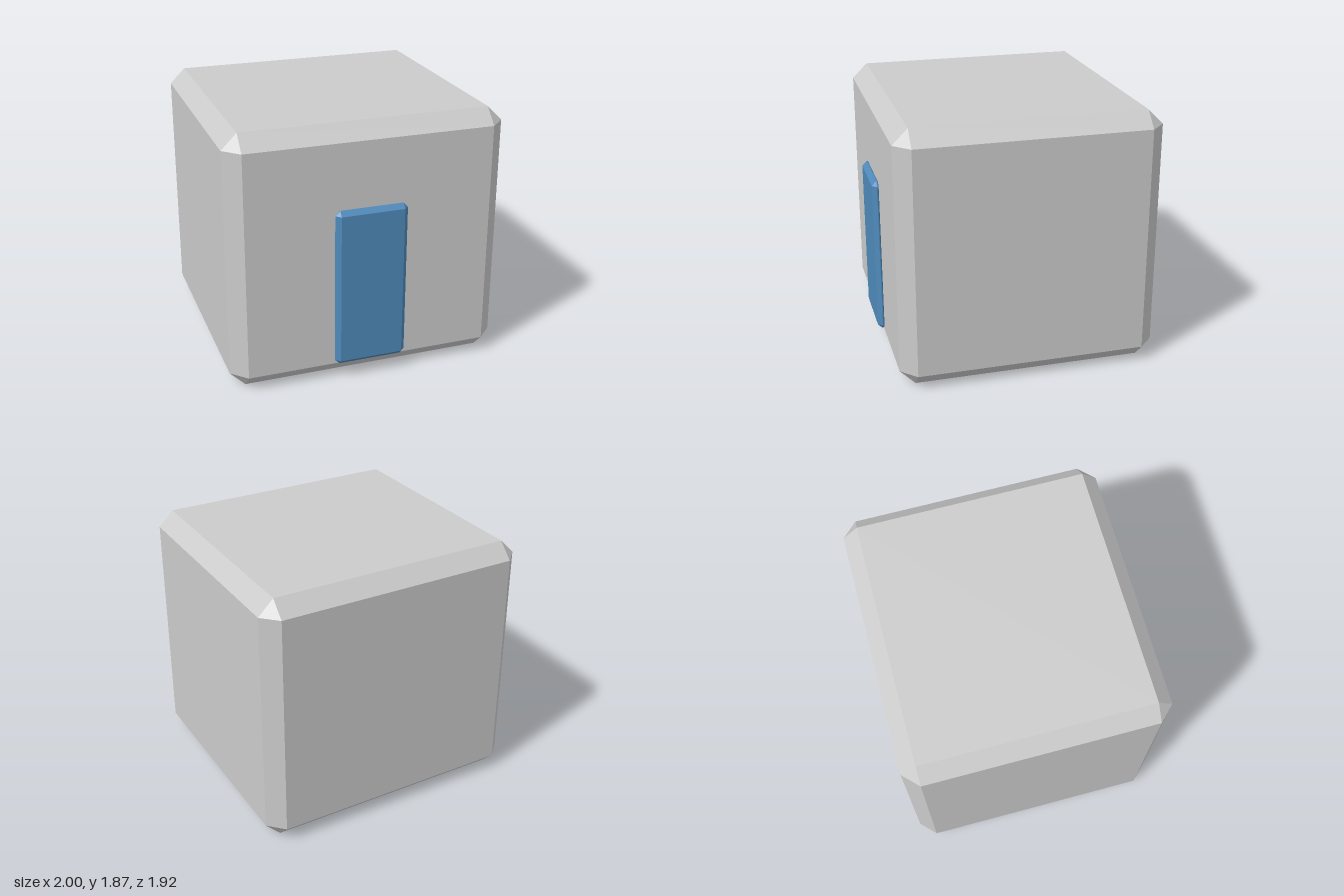
import * as THREE from 'three';
import { ConvexGeometry } from 'three/addons/geometries/ConvexGeometry.js';

// Box with every edge bevelled flat and a small triangle at each corner
function chamferedBox(width, height, depth, bevel) {
  const half = [width / 2, height / 2, depth / 2];
  const points = [];
  for (const sx of [-1, 1]) for (const sy of [-1, 1]) for (const sz of [-1, 1]) {
    for (let axis = 0; axis < 3; axis++) {
      // Each corner has one point on each of its three faces
      const [x, y, z] = half.map((h, i) => (i === axis ? h : h - bevel));
      points.push(new THREE.Vector3(sx * x, sy * y, sz * z));
    }
  }
  return new ConvexGeometry(points);
}

function addPart(group, name, geometry, color, y, z) {
  const material = new THREE.MeshStandardMaterial({ color, flatShading: true });
  const mesh = new THREE.Mesh(geometry, material);
  mesh.name = name;
  mesh.position.set(0, y, z);
  group.add(mesh);
}

export function createModel() {
  const group = new THREE.Group();
  group.name = 'blockHouse';

  // Main block
  addPart(group, 'body', chamferedBox(2, 1.87, 1.87, 0.11), 0xcccccc, 0.935, -0.023);

  // Door panel, half sunk into the front wall
  addPart(group, 'door', chamferedBox(0.524, 1.174, 0.072, 0.033), 0x4f8abb, 0.699, 0.922);

  return group;
}
